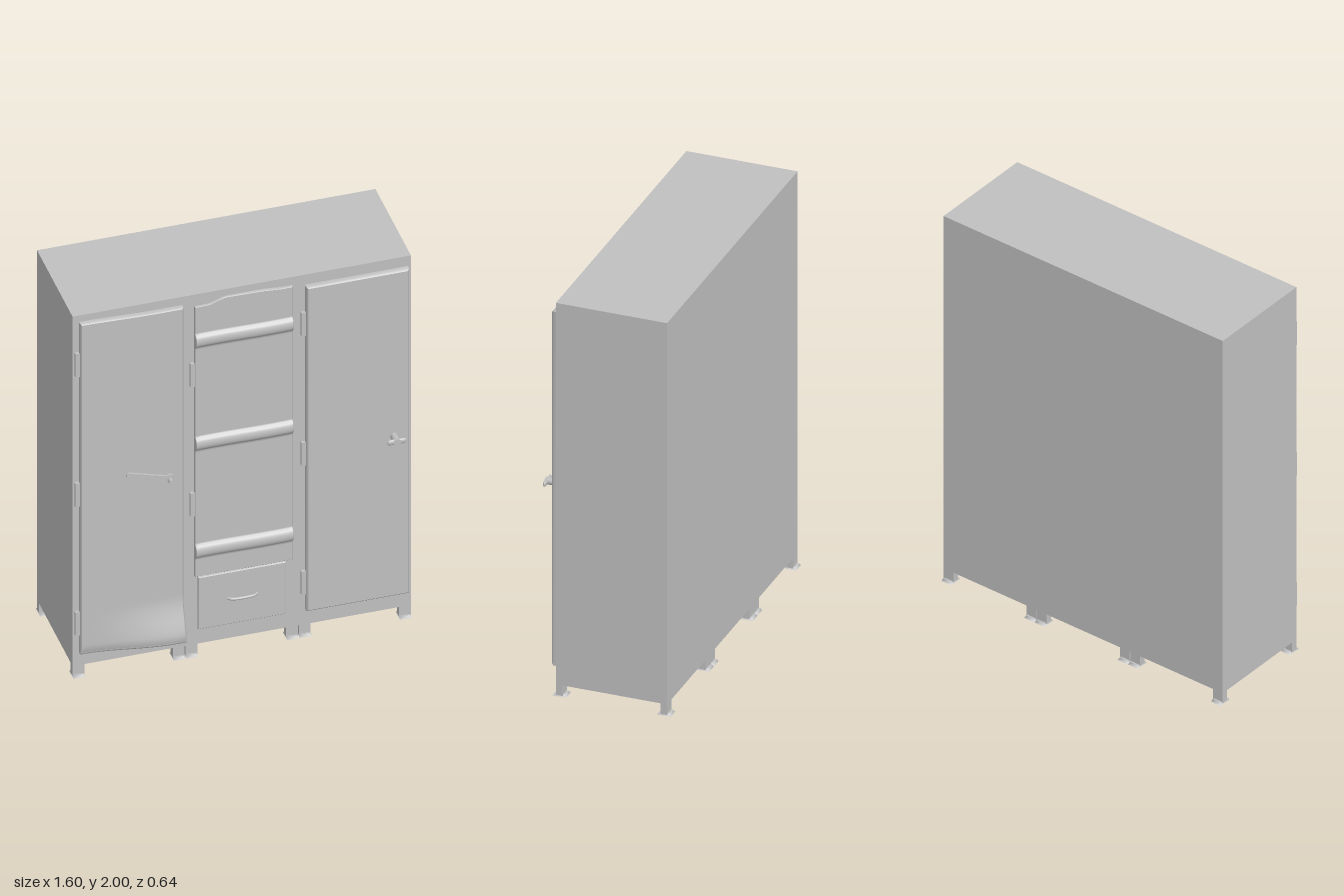
import * as THREE from 'three';

const steel = new THREE.MeshStandardMaterial({ color: 0xc0c0c0 });
steel.name = 'grey steel';

function add(parent, name, geometry, x = 0, y = 0, z = 0) {
  const mesh = new THREE.Mesh(geometry, steel);
  mesh.name = name;
  mesh.position.set(x, y, z);
  parent.add(mesh);
  return mesh;
}

// Box given by its lower and upper corners
function box(parent, name, x0, x1, y0, y1, z0, z1) {
  return add(parent, name, new THREE.BoxGeometry(x1 - x0, y1 - y0, z1 - z0),
    (x0 + x1) / 2, (y0 + y1) / 2, (z0 + z1) / 2);
}

// Sheet panel with a chamfered front rim; bend(v, front) may move each vertex
function panel(parent, name, [x0, x1, y0, y1, z0, z1], bevel, nx, ny, bend) {
  const w = x1 - x0, h = y1 - y0;
  const g = new THREE.BoxGeometry(w, h, 1, nx, ny, 2);
  const p = g.attributes.position, v = new THREE.Vector3();
  for (let i = 0; i < p.count; i++) {
    v.fromBufferAttribute(p, i);
    const front = v.z > 0.25;
    const layer = front ? z1 : v.z > -0.25 ? z1 - bevel : z0;
    if (front) {
      v.x *= 1 - 2 * bevel / w;
      v.y *= 1 - 2 * bevel / h;
    }
    v.set(v.x + (x0 + x1) / 2, v.y + (y0 + y1) / 2, layer);
    if (bend) bend(v, front);
    p.setXYZ(i, v.x, v.y, v.z);
  }
  g.computeVertexNormals();
  return add(parent, name, g);
}

const smooth = THREE.MathUtils.smoothstep;

export function createModel() {
  const model = new THREE.Group();
  model.name = 'locker';

  // Cabinet body
  box(model, 'cabinet', -0.8, 0.8, 0.06, 2, -0.31, 0.23);

  // Legs with flared foot pads, front and back
  for (const x of [-0.772, -0.298, -0.238, 0.238, 0.298, 0.772]) {
    for (const s of [1, -1]) {
      const leg = new THREE.Group();
      leg.name = s > 0 ? 'frontLeg' : 'backLeg';
      const outer = s > 0 ? 0.23 : -0.31;
      const inner = outer - s * 0.033;
      box(leg, 'post', x - 0.028, x + 0.028, 0.006, 0.062, Math.min(outer, inner), Math.max(outer, inner));
      const pad = new THREE.CylinderGeometry(0.76 * Math.SQRT1_2, Math.SQRT1_2, 1, 4, 1);
      pad.rotateY(Math.PI / 4);
      pad.scale(0.057, 0.012, 0.066);
      pad.computeVertexNormals();
      add(leg, 'footPad', pad, x, 0.006, (outer + inner) / 2);
      model.add(leg);
    }
  }

  // Left door: lower free corner is bent outward and curls at the bottom
  panel(model, 'leftDoor', [-0.77, -0.282, 0.13, 1.965, 0.23, 0.255], 0.007, 24, 90, (v, front) => {
    const across = smooth(v.x, -0.76, -0.33);
    const down = 1 - smooth(v.y, 0.13, 0.36);
    v.z += 0.052 * across * down;
    if (front && v.y < 0.17) v.z -= 0.012 * ((0.17 - v.y) / 0.04) ** 2;
    if (v.y > 1.9) v.y -= 0.01 * smooth(v.x, -0.77, -0.4) * (v.y - 1.9) / 0.065;
  });

  // Right door
  panel(model, 'rightDoor', [0.298, 0.785, 0.145, 1.945, 0.23, 0.258], 0.008, 1, 1);

  // Middle door: thin sheet with three rolled ridges and a wavy top edge
  panel(model, 'middleDoor', [-0.225, 0.238, 0.44, 1.955, 0.228, 0.243], 0.003, 24, 180, (v, front) => {
    if (v.z > 0.235) {
      for (const y of [0.583, 1.18, 1.75]) {
        const t = (v.y - y) / 0.034;
        if (Math.abs(t) < 1) v.z += 0.02 * Math.sqrt(1 - t * t);
      }
      v.z += 0.002 * Math.sin(v.x * 13);
    }
    if (v.y > 1.85) {
      const wave = -0.018 + 0.027 * smooth(v.x, -0.17, -0.07) - 0.008 * smooth(v.x, 0.08, 0.2);
      v.y += wave * (v.y - 1.85) / 0.105;
    }
  });

  // Drawer with a bowed pull
  panel(model, 'drawerFront', [-0.21, 0.205, 0.145, 0.435, 0.228, 0.243], 0.004, 1, 1);
  const pullCurve = new THREE.CatmullRomCurve3([
    [-0.07, 0.24], [-0.055, 0.252], [0, 0.258], [0.055, 0.252], [0.07, 0.24],
  ].map(([x, z]) => new THREE.Vector3(x, 0.29, z)));
  add(model, 'drawerPull', new THREE.TubeGeometry(pullCurve, 20, 0.007, 8));

  // Hinges
  const hingeRows = { outer: [0.3, 1.015, 1.735], middle: [0.845, 1.563] };
  for (const [x, rows] of [[-0.781, hingeRows.outer], [0.288, hingeRows.outer], [-0.237, hingeRows.middle]]) {
    for (const y of rows) {
      box(model, 'hinge', x - 0.01, x + 0.01, y - 0.064, y + 0.064, 0.225, 0.246);
    }
  }

  // Left handle: slanted lever, broad at the tip, on a round spindle
  const leftHandle = new THREE.Group();
  leftHandle.name = 'leftHandle';
  const spindle = new THREE.CylinderGeometry(0.011, 0.011, 0.062, 16);
  spindle.rotateX(Math.PI / 2);
  add(leftHandle, 'spindle', spindle, 0, 0, 0.275);
  const lever = new THREE.Shape();
  lever.moveTo(0.02, -0.012);
  lever.absarc(0, 0, 0.025, -0.6, Math.PI - 0.7, false);
  lever.lineTo(-0.09, 0.017);
  lever.lineTo(-0.19, 0.019);
  lever.absarc(-0.197, 0.003, 0.017, Math.PI / 2, Math.PI * 1.5, false);
  lever.lineTo(-0.17, -0.012);
  lever.lineTo(-0.08, -0.006);
  lever.lineTo(-0.022, -0.016);
  lever.absarc(0, 0, 0.025, Math.PI + 0.7, Math.PI * 2 - 0.6, false);
  const leverMesh = add(leftHandle, 'lever',
    new THREE.ExtrudeGeometry(lever, { depth: 0.01, bevelEnabled: false, curveSegments: 10 }), 0, 0, 0.27);
  leverMesh.rotation.z = -0.27;
  leftHandle.position.set(-0.355, 1.036, 0);
  model.add(leftHandle);

  // Right handle: short bar on a round spindle
  const rightHandle = new THREE.Group();
  rightHandle.name = 'rightHandle';
  const stem = new THREE.CylinderGeometry(0.017, 0.017, 0.06, 16);
  stem.rotateX(Math.PI / 2);
  add(rightHandle, 'stem', stem, 0, 0, 0.285);
  const grip = new THREE.CapsuleGeometry(0.014, 0.065, 6, 12);
  grip.rotateZ(Math.PI / 2);
  grip.scale(1, 1, 0.55);
  add(rightHandle, 'grip', grip, 0, 0, 0.306);
  rightHandle.position.set(0.71, 1.038, 0);
  model.add(rightHandle);

  return model;
}
